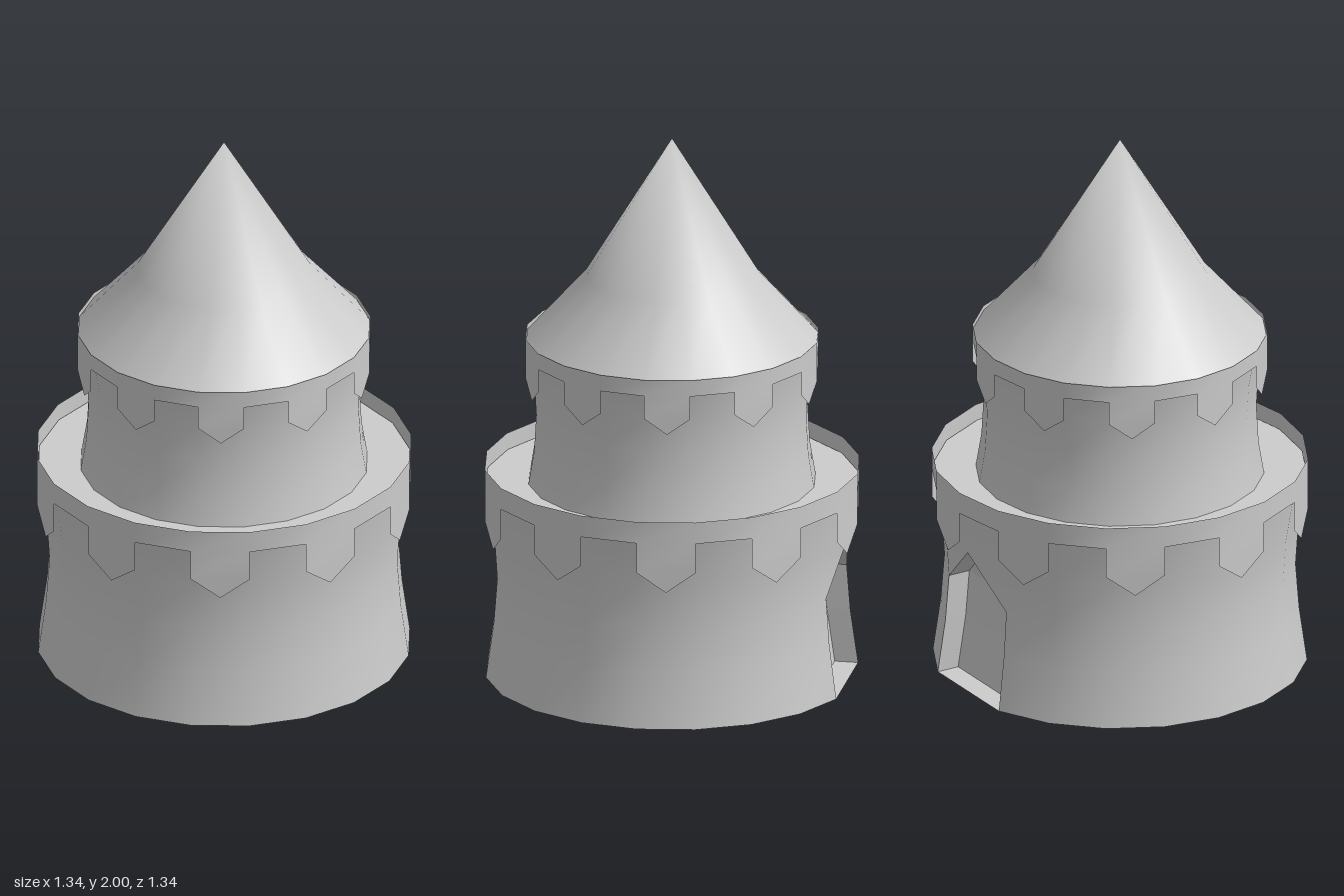
import * as THREE from 'three';
import { mergeVertices } from 'three/addons/utils/BufferGeometryUtils.js';

const SIDES = 20;
const DOOR = 9; // the doorway fills facets 9 and 10, at the back
const material = new THREE.MeshStandardMaterial({ color: 0xcccccc, side: THREE.DoubleSide });
const flatMaterial = material.clone();
flatMaterial.flatShading = true;

// Point on corner k of a 20-sided ring.
function corner(r, y, k) {
  const a = (k / SIDES) * Math.PI * 2;
  return [r * Math.sin(a), y, r * Math.cos(a)];
}

function addMesh(parent, name, geometry, mat = material) {
  const mesh = new THREE.Mesh(geometry, mat);
  mesh.name = name;
  parent.add(mesh);
}

// Smooth geometry from a list of triangles given as points.
function fromTriangles(tris) {
  let geometry = new THREE.BufferGeometry();
  geometry.setAttribute('position', new THREE.Float32BufferAttribute(tris.flat(2), 3));
  geometry = mergeVertices(geometry);
  geometry.computeVertexNormals();
  return geometry;
}

// Skin a [radius, height] profile around the axis; cell() may alter a facet.
function ringSurface(profile, cell = (row, k, [a, b, c, d]) => [[a, b, c], [a, c, d]]) {
  const tris = [];
  for (let row = 0; row < profile.length - 1; row++) {
    const [lo, hi] = [profile[row], profile[row + 1]];
    for (let k = 0; k < SIDES; k++) {
      const quad = [corner(...lo, k), corner(...lo, (k + 1) % SIDES),
        corner(...hi, (k + 1) % SIDES), corner(...hi, k)];
      if (hi[0] === 0) tris.push([quad[0], quad[1], [0, hi[1], 0]]);
      else tris.push(...cell(row, k, quad));
    }
  }
  return fromTriangles(tris);
}

// Thin parapet with a pointed tooth hanging from every second facet.
function parapet(r, top, bottom, shoulder, tip) {
  const tris = [];
  for (let k = 0; k < SIDES; k++) {
    const n = (k + 1) % SIDES;
    const [a, b] = [corner(r, bottom, k), corner(r, bottom, n)];
    const [c, d] = [corner(r, top, n), corner(r, top, k)];
    tris.push([a, b, c], [a, c, d]);
    if (k % 2 === 1) {
      const [e, f] = [corner(r, shoulder, k), corner(r, shoulder, n)];
      const point = [(e[0] + f[0]) / 2, tip, (e[2] + f[2]) / 2];
      tris.push([e, f, b], [e, b, a], [point, f, e]);
    }
  }
  return fromTriangles(tris);
}

function disc(r, y) {
  return new THREE.CircleGeometry(r, SIDES).rotateX(-Math.PI / 2).translate(0, y, 0);
}

// Recessed doorway: jambs, sill, pointed head and the panel behind.
function doorway(wall, depth) {
  const outer = [[0, 0], [1, 0], [2, 0], [3, 1], [2, 2], [1, 2], [0, 2]]
    .map(([row, k]) => corner(...wall[row], DOOR + k));
  const inner = outer.map(([x, y, z]) => [x, y, z + depth]);
  const tris = [];
  outer.forEach((o, i) => {
    const j = (i + 1) % outer.length;
    tris.push([o, inner[i], inner[j]], [o, inner[j], outer[j]]);
  });
  for (let i = 0; i < 2; i++) {
    tris.push([inner[i], inner[6 - i], inner[5 - i]], [inner[i], inner[5 - i], inner[i + 1]]);
  }
  tris.push([inner[2], inner[4], inner[3]]);
  const geometry = fromTriangles(tris).toNonIndexed();
  geometry.computeVertexNormals();
  return geometry;
}

export function createModel() {
  const tower = new THREE.Group();
  tower.name = 'tower';

  // Lower storey, with the doorway cut from its wall
  const lowerWall = [[0.668, 0], [0.64, 0.2], [0.627, 0.37], [0.638, 0.54], [0.668, 0.72]];
  addMesh(tower, 'lowerWall', ringSurface(lowerWall, (row, k, [a, b, c, d]) => {
    const inDoor = k === DOOR || k === DOOR + 1;
    if (inDoor && row < 2) return [];
    if (inDoor && row === 2) return k === DOOR ? [[a, c, d]] : [[b, c, d]];
    return [[a, b, c], [a, c, d]];
  }));
  addMesh(tower, 'doorway', doorway(lowerWall, 0.085), flatMaterial);
  addMesh(tower, 'terraceFloor', disc(0.668, 0.72));
  addMesh(tower, 'lowerParapet', parapet(0.672, 0.78, 0.7, 0.59, 0.515));

  // Upper storey
  addMesh(tower, 'upperWall', ringSurface(
    [[0.515, 0.72], [0.495, 0.84], [0.487, 0.98], [0.495, 1.12], [0.52, 1.25]]));
  addMesh(tower, 'upperParapet', parapet(0.526, 1.265, 1.205, 1.12, 1.06));

  // Flared pointed roof
  addMesh(tower, 'roof', ringSurface([[0.524, 1.25], [0.31, 1.49], [0, 2]]));

  return tower;
}
